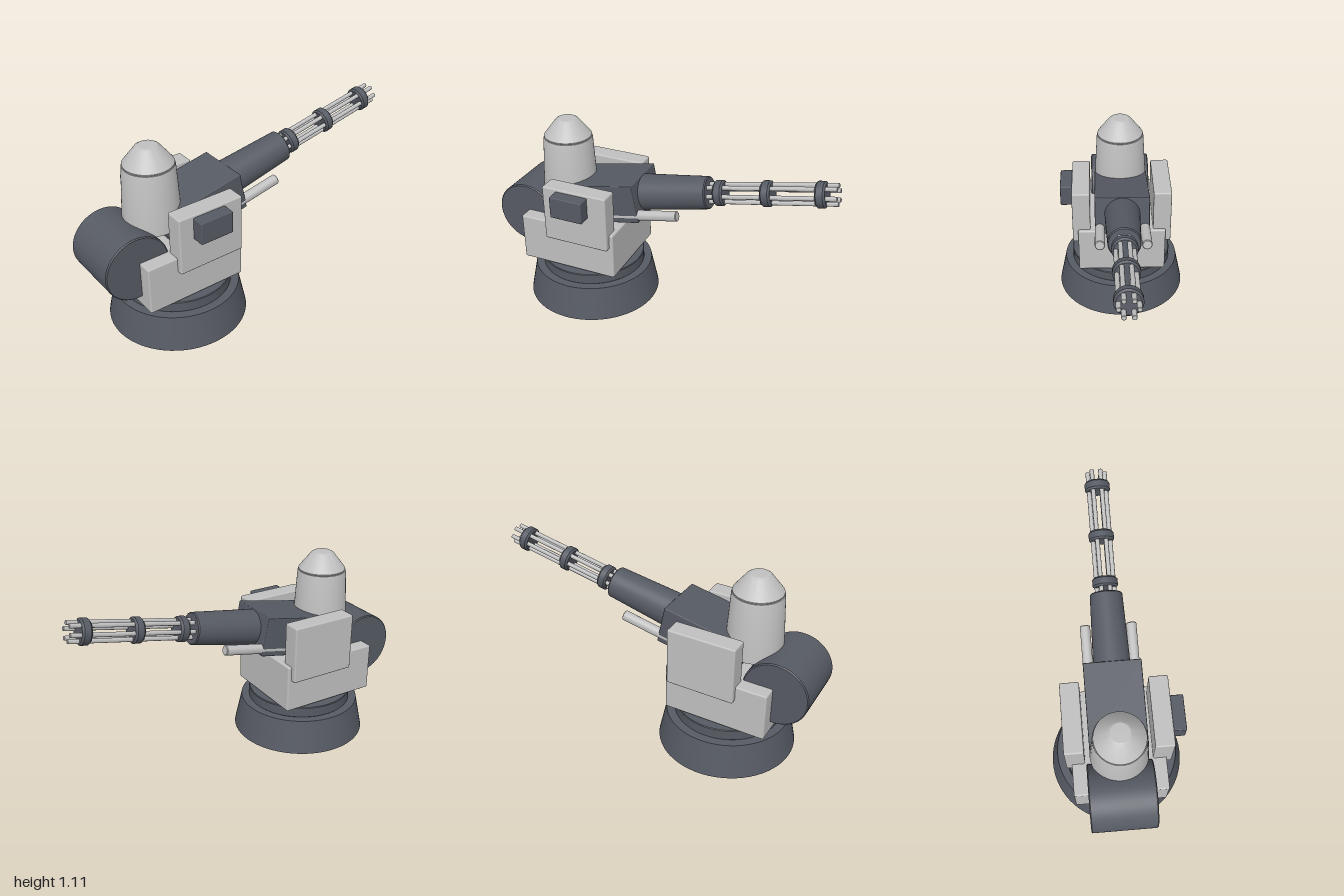
import * as THREE from 'three';
import { RoundedBoxGeometry } from 'three/addons/geometries/RoundedBoxGeometry.js';
import { toCreasedNormals } from 'three/addons/utils/BufferGeometryUtils.js';

export function createModel() {
  const model = new THREE.Group();
  model.name = 'gunTurret';
  const light = new THREE.MeshStandardMaterial({ color: 0xc0c0c0 });
  light.name = 'lightGrey';
  const dark = new THREE.MeshStandardMaterial({ color: 0x565a63 });
  dark.name = 'darkGrey';

  function add(parent, name, geometry, material, x = 0, y = 0, z = 0) {
    const mesh = new THREE.Mesh(geometry, material);
    mesh.name = name;
    mesh.position.set(x, y, z);
    parent.add(mesh);
    return mesh;
  }
  const box = (w, h, d, r = 0.009) => new RoundedBoxGeometry(w, h, d, 2, r);
  // Turned part: profile of [radius, height] pairs, sharp where it bends
  const turned = (profile, sides = 48) => toCreasedNormals(
    new THREE.LatheGeometry(profile.map(([r, y]) => new THREE.Vector2(r, y)), sides), 0.5);
  // Solid rod with slightly bevelled ends, centred on its length
  const rod = (r0, r1, len, bevel, sides = 40) => turned([
    [0, -len / 2], [r0 - bevel, -len / 2], [r0, -len / 2 + bevel],
    [r1, len / 2 - bevel], [r1 - bevel, len / 2], [0, len / 2]], sides);

  // Round base and turning collar
  add(model, 'base', turned([[0, 0], [0.4, 0], [0.379, 0.1], [0.358, 0.2], [0, 0.2]], 64), dark, 0, 0, 0.47);
  add(model, 'collar', rod(0.311, 0.311, 0.066, 0.004, 64), dark, 0, 0.232, 0.47);
  add(model, 'neck', new THREE.CylinderGeometry(0.2, 0.2, 0.03, 40), dark, 0, 0.265, 0.47);

  // Cradle, side shields and sight box
  add(model, 'cradle', box(0.53, 0.285, 0.6), light, 0, 0.4135, 0.5);
  for (const side of [-1, 1]) {
    add(model, side > 0 ? 'leftShield' : 'rightShield', box(0.108, 0.34, 0.4), light, side * 0.244, 0.636, 0.422);
  }
  add(model, 'sightBox', box(0.085, 0.13, 0.2, 0.006), dark, 0.327, 0.726, 0.435);

  // Ammunition drum lying across the front
  add(model, 'drum', rod(0.188, 0.188, 0.368, 0.006, 64), dark, 0, 0.525, 0.812).rotation.z = Math.PI / 2;

  // Radar housing with a cone cap
  add(model, 'radarHousing', turned([[0, 0.65], [0.163, 0.65], [0.143, 0.99], [0.14, 1.0], [0, 1.0]]), light, 0, 0, 0.604);
  add(model, 'radarCap', turned([[0, 0.998], [0.132, 0.998], [0.138, 1.004], [0.138, 1.01],
    [0.068, 1.1], [0.052, 1.11], [0, 1.112]]), light, 0, 0, 0.604);

  // Gun, tilted upward; its barrels run along local -z
  const gun = new THREE.Group();
  gun.name = 'gun';
  gun.position.set(0, 0.815, -0.283);
  gun.rotation.x = THREE.MathUtils.degToRad(11.5);
  model.add(gun);
  const along = (name, geometry, material, x, y, z) => {
    add(gun, name, geometry, material, x, y, z).rotation.x = -Math.PI / 2;
  };
  add(gun, 'receiver', box(0.322, 0.229, 0.48, 0.005), dark, 0, -0.007, 0.64);
  along('sleeve', rod(0.105, 0.092, 0.42, 0.006), dark, 0, 0, 0.21);
  for (const side of [-1, 1]) {
    along(side > 0 ? 'leftRod' : 'rightRod', rod(0.029, 0.029, 0.4, 0.004, 24), light, side * 0.133, -0.084, 0.36);
  }

  // Six barrels held by three clamps
  for (let i = 0; i < 6; i++) {
    const a = i * Math.PI / 3;
    along('barrel' + (i + 1), rod(0.0125, 0.0125, 0.74, 0.002, 16), light,
      Math.cos(a) * 0.049, Math.sin(a) * 0.049, -0.35);
  }
  [-0.063, -0.334, -0.63].forEach((z, i) => {
    along('clamp' + (i + 1), rod(0.072, 0.072, 0.056, 0.01), dark, 0, 0, z);
  });
  return model;
}
